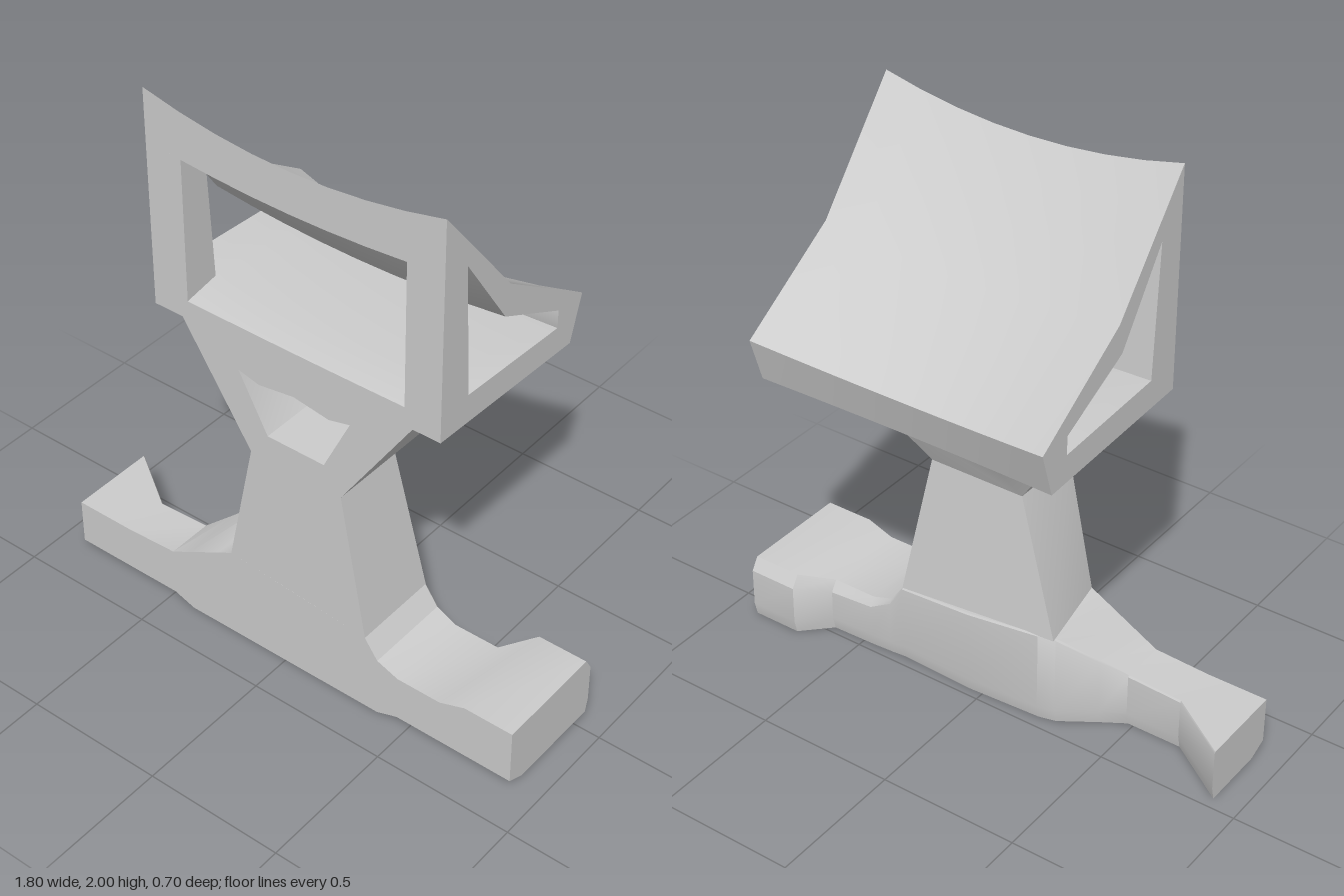
import * as THREE from 'three';
import { toCreasedNormals } from 'three/addons/utils/BufferGeometryUtils.js';

// Solid skin through closed [z, y] rings placed at increasing x, with end caps
function loft(stations) {
  const pos = [], idx = [];
  const flip = THREE.ShapeUtils.area(stations[0].ring.map(p => new THREE.Vector2(...p))) < 0;
  const rings = stations.map(s => (flip ? [...s.ring].reverse() : s.ring));
  const n = rings[0].length, last = rings.length - 1;
  rings.forEach((r, s) => r.forEach(([z, y]) => pos.push(stations[s].x, y, z)));
  for (let s = 0; s < last; s++) {
    for (let i = 0; i < n; i++) {
      const a = s * n + i, b = s * n + (i + 1) % n;
      idx.push(a, a + n, b + n, a, b + n, b);
    }
  }
  const cap = s => THREE.ShapeUtils.triangulateShape(rings[s].map(p => new THREE.Vector2(...p)), []);
  cap(0).forEach(([a, b, c]) => idx.push(a, b, c));
  cap(last).forEach(([a, b, c]) => idx.push(last * n + a, last * n + c, last * n + b));
  const g = new THREE.BufferGeometry();
  g.setAttribute('position', new THREE.Float32BufferAttribute(pos, 3));
  g.setIndex(idx);
  return toCreasedNormals(g, 0.55);
}

// Sweep a head profile across x; each point is [z, y, zSag, ySag]
function sagged(profile, x0, x1, steps) {
  const stations = [];
  for (let i = 0; i <= steps; i++) {
    const x = x0 + (x1 - x0) * i / steps;
    const u = (x - 0.055) / 0.545, k = Math.max(0, 1 - u * u);
    stations.push({ x, ring: profile.map(([z, y, dz = 0, dy = 0]) => [z + dz * k, y - dy * k]) });
  }
  return loft(stations);
}

export function createModel() {
  const model = new THREE.Group();
  const grey = new THREE.MeshStandardMaterial({ color: 0xcccccc });
  grey.name = 'lightGrey';
  const add = (name, geometry, parent = model) => {
    const m = new THREE.Mesh(geometry, grey);
    m.name = name;
    parent.add(m);
  };

  // Head: hollow wedge with a curved sloping slab, a floor and two front posts
  const head = new THREE.Group();
  head.name = 'head';
  model.add(head);
  add('curvedSlab', sagged([
    [0.35, 2.0, 0, 0.07], [0.03, 1.61, 0.02, 0.06], [-0.355, 1.36, 0.055, 0.05],
    [-0.305, 1.2, 0.05, 0.035], [-0.23, 1.3, 0.01, 0.01], [-0.23, 1.365, 0.01, 0.035],
    [0.05, 1.505, 0, 0.035], [0.245, 1.79, 0, 0.035], [0.35, 1.82, 0, 0.035],
  ], -0.49, 0.6, 8), head);
  add('headFloor', sagged([
    [0.35, 1.23], [0.35, 1.3, 0, 0.005], [0.22, 1.325, 0, 0.01],
    [-0.23, 1.3, 0.01, 0.01], [-0.305, 1.2, 0.05, 0.035],
  ], -0.49, 0.6, 8), head);
  const post = [[0.35, 1.82, 0, 0.035], [0.245, 1.79, 0, 0.035], [0.22, 1.325, 0, 0.01], [0.35, 1.3, 0, 0.005]];
  add('rightPost', sagged(post, -0.49, -0.355, 1), head);
  add('leftPost', sagged(post, 0.47, 0.6, 1), head);

  // Neck: forked column with an opening, sloped back
  const V = pts => pts.map(p => new THREE.Vector2(...p));
  const outline = new THREE.Shape(V([
    [-0.22, 0.35], [0.33, 0.3], [0.235, 0.83], [0.5, 1.23], [-0.38, 1.23], [-0.12, 0.83],
  ]));
  outline.holes.push(new THREE.Path(V([
    [-0.05, 0.925], [0.17, 0.925], [0.27, 1.13], [0.19, 1.11], [0.055, 1.13], [-0.08, 1.11], [-0.16, 1.13],
  ])));
  const neck = new THREE.ExtrudeGeometry(outline, { depth: 1, steps: 1, bevelEnabled: false });
  const p = neck.attributes.position;
  for (let i = 0; i < p.count; i++) {
    let x = p.getX(i), y = p.getY(i);
    if (p.getZ(i) > 0.5) { p.setZ(i, 0.35); continue; }
    const z = y > 0.83 ? 0.08 - (y - 0.83) * 0.45 : 0.08 - (0.83 - y) * 0.09;
    if (y > 1.2) x += x < 0 ? -0.03 : 0.03;          // arms flare at the back
    else if (y > 1.05) {                              // opening widens at the back
      x += (x - 0.055) * 0.3;
      y -= 0.025;
    } else if (y < 0.4 && x < 0) x = -0.28;           // slanted right flank
    p.setXYZ(i, x, y, z);
  }
  add('neck', toCreasedNormals(neck, 0.4));

  // Base: [x, front top, back top, back z, front chamfer, back bevel]
  const base = [
    [-0.9, 0.2, 0.2, 0.03, 0.03, 0.004],
    [-0.68, 0.2, 0.2, 0.18, 0.03, 0.004],
    [-0.48, 0.21, 0.21, 0.18, 0.03, 0.004],
    [-0.4, 0.253, 0.265, 0.13, 0.002, 0.004],
    [-0.28, 0.318, 0.35, 0.05, 0.002, 0.004],
    [-0.22, 0.35, 0.35, 0.035, 0.002, 0.004],
    [0.05, 0.325, 0.325, 0.02, 0.002, 0.004],
    [0.33, 0.3, 0.3, 0.03, 0.002, 0.004],
    [0.38, 0.23, 0.23, 0.025, 0.002, 0.01],
    [0.46, 0.2, 0.2, 0.02, 0.03, 0.02],
    [0.625, 0.2, 0.2, 0.015, 0.03, 0.025],
    [0.72, 0.235, 0.235, -0.08, 0.03, 0.028],
    [0.9, 0.235, 0.235, -0.08, 0.03, 0.028],
  ].map(([x, tf, tb, back, c, b]) => ({
    x,
    ring: [
      [0.35, c], [0.35, tf], [back + b, tb], [back, tb - b * 1.6], [back, 0.05],
      [back + 0.012, 0], [0.35 - c * 2.3, 0],
    ],
  }));
  add('base', loft(base));

  return model;
}
